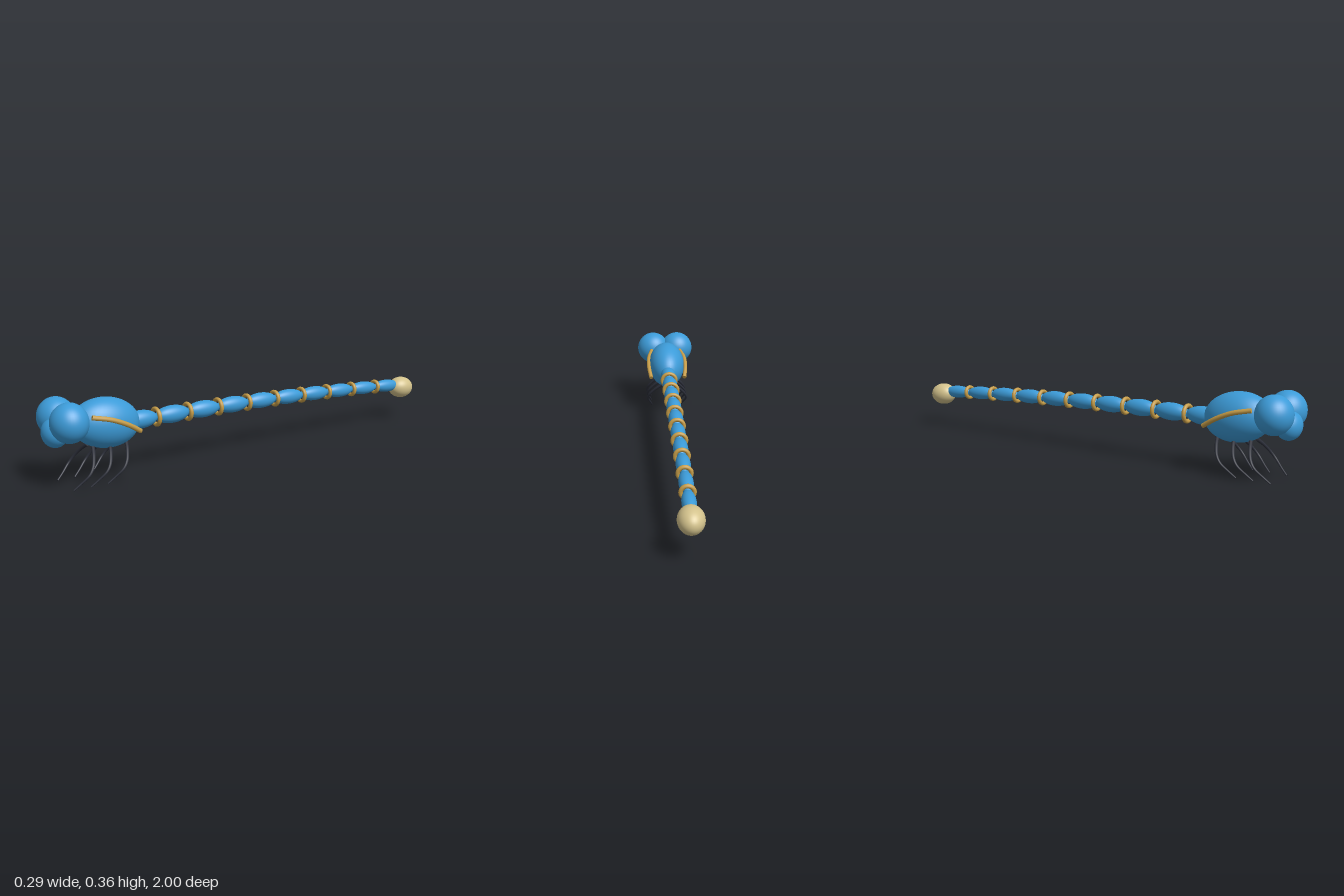
import * as THREE from 'three';

const mat = (name, color) => {
  const m = new THREE.MeshStandardMaterial({ color });
  m.name = name;
  return m;
};

export function createModel() {
  const root = new THREE.Group();
  root.name = 'dragonfly';
  const blue = mat('blue', 0x3c9bd8);
  const gold = mat('gold', 0xc59c48);
  const cream = mat('cream', 0xd3c28c);
  const dark = mat('dark', 0x2c2f3a);

  const add = (name, geometry, material) => {
    const mesh = new THREE.Mesh(geometry, material);
    mesh.name = name;
    root.add(mesh);
    return mesh;
  };
  const ellipsoid = (name, material, [x, y, z], [rx, ry, rz], tilt = 0) => {
    const mesh = add(name, new THREE.SphereGeometry(1, 40, 28), material);
    mesh.position.set(x, y, z);
    mesh.scale.set(rx, ry, rz);
    mesh.rotation.x = tilt;
    return mesh;
  };
  // Round tube along a smooth curve, narrowing from r0 to r1, with closed ends
  const taperedTube = (name, material, points, r0, r1) => {
    const curve = new THREE.CatmullRomCurve3(points.map(p => new THREE.Vector3(...p)));
    const steps = 28, sides = 10;
    const geometry = new THREE.TubeGeometry(curve, steps, r0, sides);
    const pos = geometry.attributes.position;
    const v = new THREE.Vector3();
    for (let i = 0; i < pos.count; i++) {
      const t = Math.floor(i / (sides + 1)) / steps;
      const c = curve.getPointAt(t);
      v.fromBufferAttribute(pos, i).sub(c).multiplyScalar(1 + (r1 / r0 - 1) * t).add(c);
      pos.setXYZ(i, v.x, v.y, v.z);
    }
    add(name, geometry, material);
    [[0, r0, -1], [1, r1, 1]].forEach(([t, r, dir]) => {
      const cap = add(name + 'End', new THREE.CircleGeometry(r, sides), material);
      cap.position.copy(curve.getPointAt(t));
      cap.lookAt(cap.position.clone().addScaledVector(curve.getTangentAt(t), dir));
    });
  };

  // Head and thorax
  ellipsoid('face', blue, [0, 0.228, 0.948], [0.064, 0.06, 0.052]);
  ellipsoid('thorax', blue, [0, 0.236, 0.727], [0.09, 0.105, 0.149], -0.14);

  for (const side of [1, -1]) {
    const label = side > 0 ? 'left' : 'right';
    ellipsoid(label + 'Eye', blue, [side * 0.063, 0.275, 0.912], [0.081, 0.081, 0.077]);

    // Side stripe
    taperedTube(label + 'Stripe', gold, [
      [side * 0.074, 0.284, 0.82], [side * 0.091, 0.268, 0.745],
      [side * 0.094, 0.238, 0.675], [side * 0.085, 0.2, 0.612],
    ], 0.01, 0.01);

    // Three curved legs
    for (let i = 0; i < 3; i++) {
      const z = 0.8 - i * 0.075;
      taperedTube(`${label}Leg${i + 1}`, dark, [
        [side * 0.028, 0.149, z], [side * 0.064, 0.121, z + 0.015],
        [side * 0.093, 0.086, z + 0.034], [side * 0.1, 0.06, z + 0.053],
        [side * 0.087, 0.027, z + 0.086], [side * 0.077, 0.003, z + 0.113],
      ], 0.008, 0.0035);
    }
  }

  // Abdomen: beads with a ring at each joint, along a gently drooping line
  const spacing = 0.1556;
  const bodyY = z => 0.223 - 0.026 * Math.max(0, 0.45 - z) ** 2;
  for (let i = 0; i < 10; i++) {
    const t = i / 9;
    const z = 0.57 - i * spacing;
    const slope = 0.052 * Math.max(0, 0.45 - z);
    const r = 0.039 - 0.009 * t;
    ellipsoid(`abdomenSegment${i + 1}`, blue, [0, bodyY(z), z], [r * 0.95, r, 0.082], -slope);
    if (i === 9) break;
    const zr = z - spacing / 2;
    const ring = add(`abdomenRing${i + 1}`,
      new THREE.TorusGeometry(0.034 - 0.009 * t, 0.009, 12, 36), gold);
    ring.position.set(0, bodyY(zr), zr);
    ring.rotation.x = -slope;
  }

  // Tail tip
  ellipsoid('tailTip', cream, [0, 0.16, -0.932], [0.052, 0.052, 0.067], -0.07);

  return root;
}
